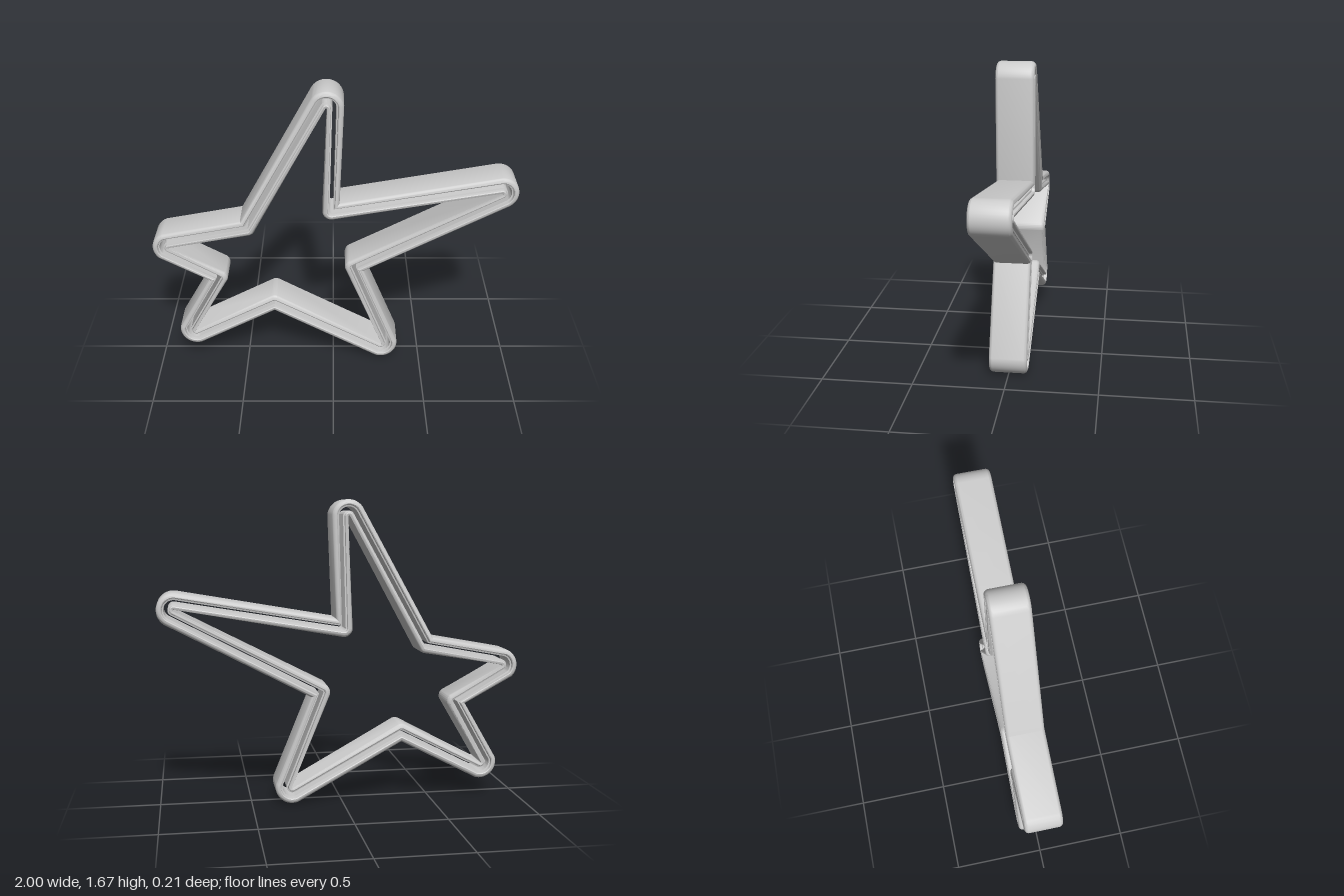
import * as THREE from 'three';
import { toCreasedNormals } from 'three/addons/utils/BufferGeometryUtils.js';

// Star centreline: rounded tip centres, each followed by the valley after it (clockwise from the top)
const TIPS = [[-0.037, 1.577], [0.903, 1.087], [0.278, 0.095], [-0.795, 0.193], [-0.907, 0.748]];
const VALLEYS = [[-0.01, 0.975], [0.115, 0.62], [-0.335, 0.382], [-0.645, 0.55], [-0.477, 0.873]];
const TIP_RADIUS = 0.043;
const HALF_WIDTH = 0.05;
const HALF_DEPTH = 0.105;
const ARC = 16;

// Angle of the outward normal of the line from a valley, tangent to a tip circle
function tangentNormal(valley, tip, side) {
  const dx = tip[0] - valley[0], dy = tip[1] - valley[1];
  return Math.atan2(dy, dx) + side * (Math.PI / 2 - Math.asin(TIP_RADIUS / Math.hypot(dx, dy)));
}

// Sweep from angle a to b the short way
function angles(a, b, clockwise) {
  let span = b - a;
  while (span > 0) span -= Math.PI * 2;
  while (span < -Math.PI * 2) span += Math.PI * 2;
  if (!clockwise) span += Math.PI * 2;
  return Array.from({ length: ARC + 1 }, (_, i) => a + span * i / ARC);
}

// Star outline at signed distance d from the centreline
function outline(d) {
  const pts = [];
  for (let i = 0; i < 5; i++) {
    const tip = TIPS[i], valley = VALLEYS[i], next = TIPS[(i + 1) % 5];
    const before = tangentNormal(VALLEYS[(i + 4) % 5], tip, 1);
    const after = tangentNormal(valley, tip, -1);
    const following = tangentNormal(valley, next, 1);
    // round tip
    const r = Math.max(TIP_RADIUS + d, 0.004);
    for (const a of angles(before, after, true)) {
      pts.push([tip[0] + r * Math.cos(a), tip[1] + r * Math.sin(a)]);
    }
    // valley: sharp outside, rounded inside
    const nx = Math.cos(after) + Math.cos(following), ny = Math.sin(after) + Math.sin(following);
    const k = d / (1 + Math.cos(after - following));
    for (const a of angles(after, following, false)) {
      pts.push(d > 0
        ? [valley[0] + nx * k, valley[1] + ny * k]
        : [valley[0] + d * Math.cos(a), valley[1] + d * Math.sin(a)]);
    }
  }
  return pts;
}

// Half section of one wall, from mid-depth outside, over the rounded rim, to the slot
function wallSection() {
  const half = [];
  const r = 0.024;
  for (let i = 0; i <= 6; i++) {
    const a = i / 6 * Math.PI / 2;
    half.push([HALF_WIDTH - r + r * Math.cos(a), HALF_DEPTH - r + r * Math.sin(a)]);
  }
  half.push([0.021, HALF_DEPTH - 0.003], [0.019, HALF_DEPTH - 0.018], [0.011, HALF_DEPTH - 0.02]);
  return [...half, ...half.map(([d, z]) => [d, -z]).reverse()];
}

// Loft the closed section around the star; side +1 is the outer wall, -1 the inner
function makeWall(side) {
  const section = wallSection();
  const rings = section.map(([d, z]) => outline(side * d).map(([x, y]) => [x, y, z]));
  const n = rings[0].length, m = rings.length;
  const index = [];
  for (let j = 0; j < m; j++) {
    for (let i = 0; i < n; i++) {
      const a = j * n + i, b = j * n + (i + 1) % n;
      const c = ((j + 1) % m) * n + i, e = ((j + 1) % m) * n + (i + 1) % n;
      if (side > 0) index.push(a, b, c, b, e, c);
      else index.push(a, c, b, b, c, e);
    }
  }
  const geometry = new THREE.BufferGeometry();
  geometry.setAttribute('position', new THREE.Float32BufferAttribute(rings.flat(2), 3));
  geometry.setIndex(index);
  return toCreasedNormals(geometry, Math.PI / 5);
}

export function createModel() {
  const group = new THREE.Group();
  group.name = 'starFrame';
  const material = new THREE.MeshStandardMaterial({ color: 0xcccccc, side: THREE.DoubleSide });
  for (const [name, side] of [['outerWall', 1], ['innerWall', -1]]) {
    const wall = new THREE.Mesh(makeWall(side), material);
    wall.name = name;
    group.add(wall);
  }
  return group;
}
